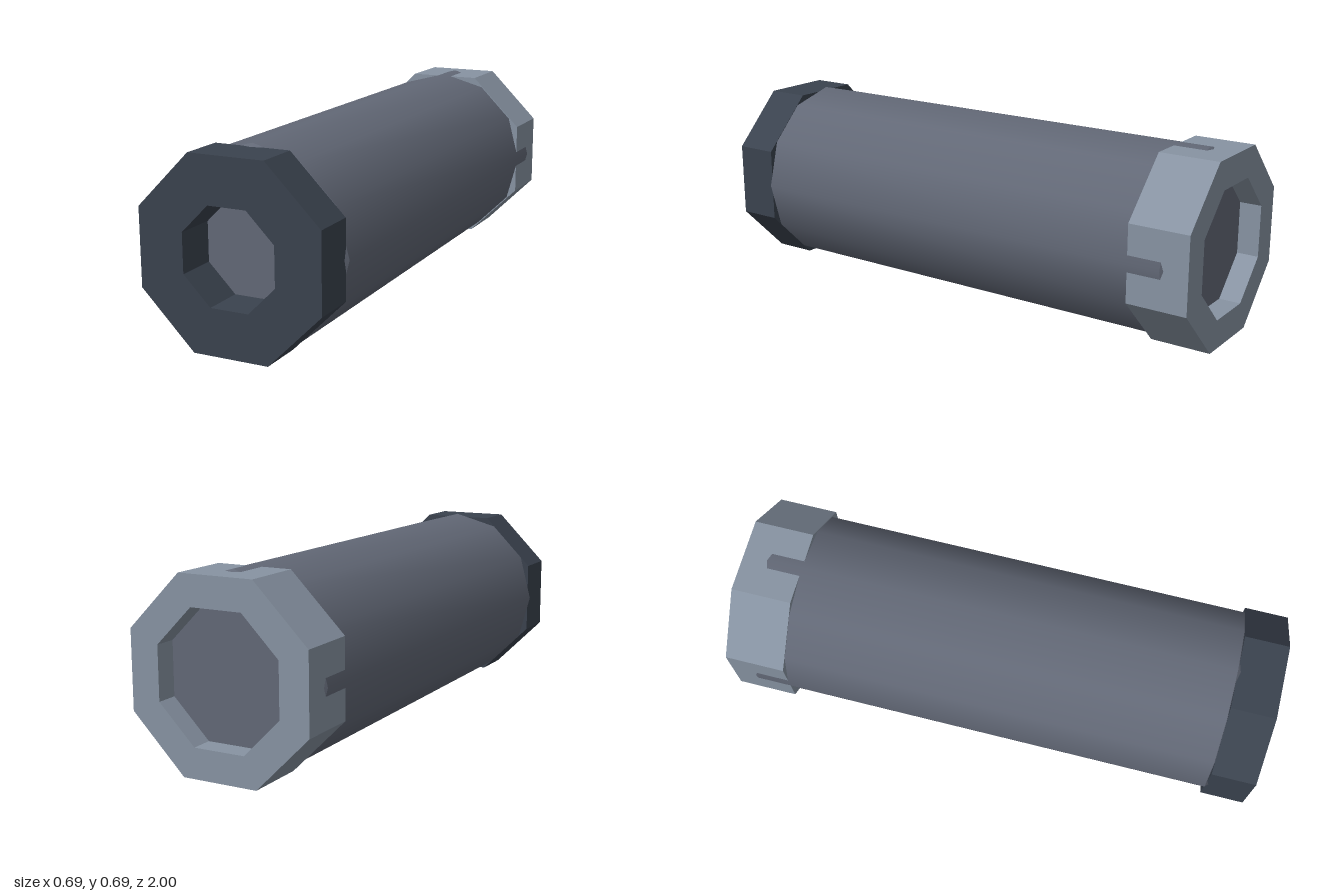
import * as THREE from 'three';
import { mergeGeometries } from 'three/addons/utils/BufferGeometryUtils.js';

const CENTER_Y = 0.345;

// Regular octagon with flats on top, bottom and sides
function octagon(apothem, PathType) {
  const r = apothem / Math.cos(Math.PI / 8);
  const points = [];
  for (let i = 0; i < 8; i++) {
    const a = Math.PI / 8 + (i * Math.PI) / 4;
    points.push(new THREE.Vector2(r * Math.cos(a), r * Math.sin(a)));
  }
  return new PathType(points);
}

// Octagonal collar with an octagonal opening, running from z0 to z1
function collar(name, outer, inner, z0, z1, material) {
  const shape = octagon(outer, THREE.Shape);
  shape.holes.push(octagon(inner, THREE.Path));
  const geometry = new THREE.ExtrudeGeometry(shape, { depth: z1 - z0, bevelEnabled: false });
  geometry.translate(0, CENTER_Y, z0);
  const mesh = new THREE.Mesh(geometry, material);
  mesh.name = name;
  return mesh;
}

// Twelve-sided tube wall or bevel between two z positions
function band(rBack, rFront, z0, z1) {
  const g = new THREE.CylinderGeometry(rFront, rBack, z1 - z0, 12, 1, true);
  g.rotateX(Math.PI / 2);
  g.translate(0, CENTER_Y, (z0 + z1) / 2);
  return g;
}

// Flat end of the tube, seen through a collar opening
function endDisc(radius, z, facesFront) {
  const g = new THREE.CircleGeometry(radius, 12);
  if (!facesFront) g.rotateY(Math.PI);
  g.translate(0, CENTER_Y, z);
  return g;
}

export function createModel() {
  const bodyMaterial = new THREE.MeshStandardMaterial({ color: 0x626876 });
  bodyMaterial.name = 'slate grey';
  const frontMaterial = new THREE.MeshStandardMaterial({ color: 0x3a424e });
  frontMaterial.name = 'dark slate';
  const rearMaterial = new THREE.MeshStandardMaterial({ color: 0x8793a2 });
  rearMaterial.name = 'light steel';

  const group = new THREE.Group();
  group.name = 'tube';

  // Smooth body with narrow bevels and closed ends
  const body = new THREE.Mesh(
    mergeGeometries([
      band(0.345, 0.345, -0.9, 0.835),
      band(0.345, 0.33, 0.835, 0.85),
      band(0.33, 0.345, -0.92, -0.9),
      endDisc(0.33, 0.85, true),
      endDisc(0.33, -0.92, false),
    ]),
    bodyMaterial
  );
  body.name = 'body';
  group.add(body);

  // Dark collar at the front, pale collar at the rear
  group.add(collar('frontCollar', 0.333, 0.169, 0.837, 1, frontMaterial));
  group.add(collar('rearCollar', 0.337, 0.23, -1, -0.777, rearMaterial));

  return group;
}
